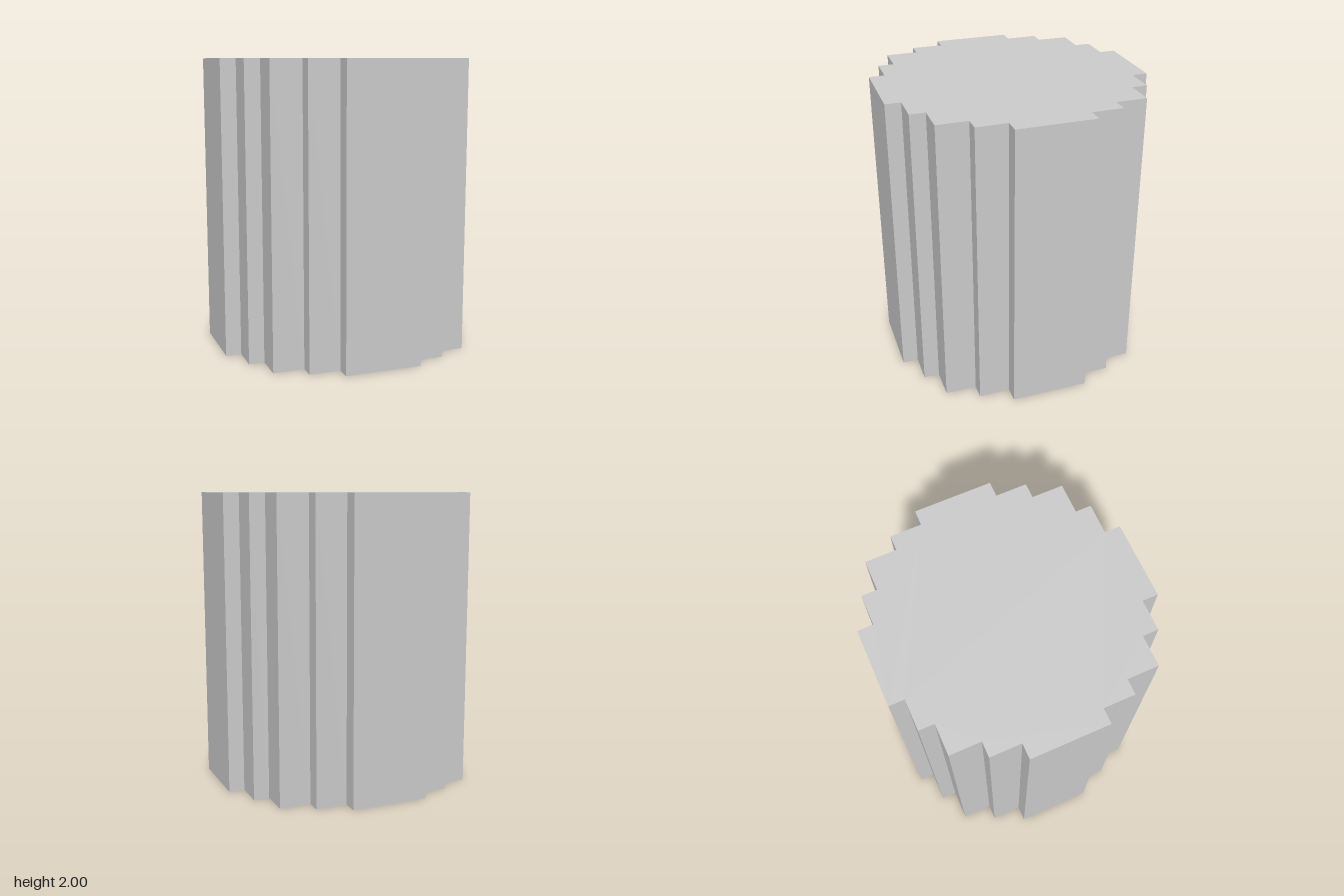
import * as THREE from 'three';

// One block of the stepped circle; the pillar is 17 blocks wide and 19 tall
const UNIT = 2 / 19;

// Stair-step corners of one quadrant, in blocks
const QUADRANT = [
  [8.5, 2.5], [7.5, 2.5], [7.5, 4.5], [6.5, 4.5], [6.5, 6.5],
  [4.5, 6.5], [4.5, 7.5], [2.5, 7.5], [2.5, 8.5],
];

// Full outline: the quadrant turned through four quarter turns
function steppedCircle() {
  const points = [];
  for (let turn = 0; turn < 4; turn++) {
    for (const [x, y] of QUADRANT) {
      const p = new THREE.Vector2(x, y).multiplyScalar(UNIT);
      for (let i = 0; i < turn; i++) p.set(-p.y, p.x);
      points.push(p);
    }
  }
  return new THREE.Shape(points);
}

export function createModel() {
  const group = new THREE.Group();
  group.name = 'steppedPillar';

  // Solid pillar standing on the ground
  const geometry = new THREE.ExtrudeGeometry(steppedCircle(), { depth: 19 * UNIT, bevelEnabled: false });
  geometry.rotateX(-Math.PI / 2);
  const material = new THREE.MeshStandardMaterial({ color: 0xcccccc, flatShading: true });
  const pillar = new THREE.Mesh(geometry, material);
  pillar.name = 'pillar';
  group.add(pillar);

  return group;
}
